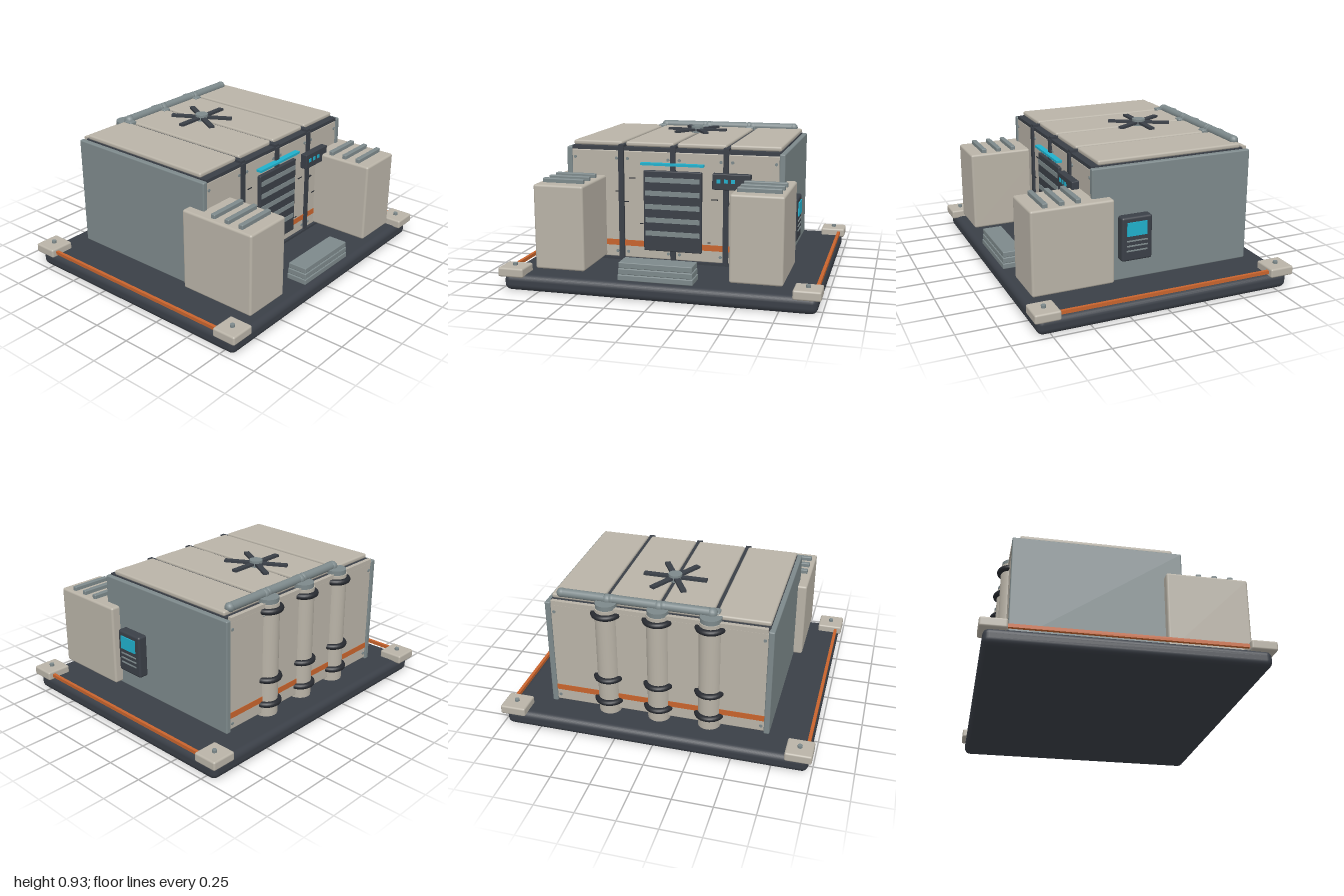
import * as THREE from 'three';
import { RoundedBoxGeometry } from 'three/addons/geometries/RoundedBoxGeometry.js';

const mat = (name, color) => {
  const m = new THREE.MeshStandardMaterial({ color });
  m.name = name;
  return m;
};

export function createModel() {
  const root = new THREE.Group();
  root.name = 'shelterModule';
  const cream = mat('cream', 0xb9b3a7), steel = mat('blueGrey', 0x7d898b), dark = mat('charcoal', 0x3a3f47);
  const black = mat('nearBlack', 0x272a30), orange = mat('orange', 0xc8642d), cyan = mat('cyan', 0x20b0cc);

  const add = (name, geo, m, x, y, z) => {
    const mesh = new THREE.Mesh(geo, m);
    mesh.name = name;
    mesh.position.set(x, y, z);
    root.add(mesh);
    return mesh;
  };
  // Box given by its extents; r > 0 rounds the edges
  const box = (name, m, x0, x1, y0, y1, z0, z1, r = 0) => {
    const w = x1 - x0, h = y1 - y0, d = z1 - z0;
    const geo = r ? new RoundedBoxGeometry(w, h, d, 3, r) : new THREE.BoxGeometry(w, h, d);
    return add(name, geo, m, (x0 + x1) / 2, (y0 + y1) / 2, (z0 + z1) / 2);
  };
  const cyl = (name, m, r, h, x, y, z, seg = 24) => add(name, new THREE.CylinderGeometry(r, r, h, seg), m, x, y, z);

  // Base slab with corner blocks and side trim
  box('base', dark, -0.975, 0.975, 0, 0.105, -0.83, 0.83, 0.04);
  for (const sx of [-1, 1]) {
    box('baseTrim', orange, sx * 0.958 - 0.01, sx * 0.958 + 0.01, 0.113, 0.135, -0.7, 0.7);
    for (const sz of [-1, 1]) {
      box('cornerBlock', cream, sx * 0.915 - 0.083, sx * 0.915 + 0.083, 0.093, 0.152, sz * 0.775 - 0.08, sz * 0.775 + 0.08, 0.012);
      cyl('cornerBolt', steel, 0.015, 0.016, sx * 0.915, 0.16, sz * 0.775, 12);
    }
  }

  // Body core, side walls and edge beams
  box('bodyCore', dark, -0.68, 0.68, 0.125, 0.862, -0.64, 0.355);
  for (const s of [-1, 1]) box('sideWall', steel, s * 0.692 - 0.018, s * 0.692 + 0.018, 0.13, 0.855, -0.675, 0.388, 0.008);
  box('frontBeam', dark, -0.675, 0.675, 0.84, 0.862, 0.33, 0.38);
  box('frontSill', dark, -0.7, 0.7, 0.126, 0.142, 0.34, 0.395);
  box('backBeam', cream, -0.67, 0.67, 0.84, 0.868, -0.672, -0.645);

  // Four bays: front, back and roof panels, stripes and bolts
  for (let i = 0; i < 4; i++) {
    const x0 = -0.68 + i * 0.342 + (i ? 0.012 : 0), x1 = -0.68 + (i + 1) * 0.342 - (i < 3 ? 0.012 : 0.008);
    box('frontPanel', cream, x0, x1, 0.142, 0.84, 0.35, 0.38, 0.006);
    box('backPanel', cream, x0, x1, 0.142, 0.84, -0.665, -0.635, 0.006);
    box('roofPanel', cream, x0, x1, 0.862, 0.893, -0.625, 0.338, 0.012);
    box('frontStripe', orange, x0, x1, 0.218, 0.256, 0.378, 0.383);
    box('backStripe', orange, x0, x1, 0.218, 0.256, -0.668, -0.663);
    for (const x of [x0 + 0.025, x1 - 0.025]) for (const y of [0.18, 0.79]) for (const z of [0.381, -0.666]) {
      cyl('panelBolt', steel, 0.01, 0.008, x, y, z, 10).rotation.x = Math.PI / 2;
    }
  }
  for (const x of [-0.343, 0, 0.343]) {
    box('frontRib', dark, x - 0.017, x + 0.017, 0.13, 0.86, 0.36, 0.393);
    box('roofRib', dark, x - 0.018, x + 0.018, 0.86, 0.877, -0.62, 0.385);
    box('backRib', dark, x - 0.017, x + 0.017, 0.13, 0.86, -0.672, -0.64);
  }

  // Shutter door, lamp and step
  box('door', dark, -0.19, 0.19, 0.2, 0.722, 0.37, 0.402, 0.006);
  for (let i = 0; i < 5; i++) box('doorSlat', steel, -0.178, 0.178, 0.3 + i * 0.087, 0.332 + i * 0.087, 0.395, 0.406);
  box('doorLamp', cyan, -0.205, 0.205, 0.757, 0.772, 0.38, 0.418);
  for (let i = 0; i < 3; i++) {
    const w = 0.235 - i * 0.003;
    box('step', steel, -w, w, 0.112 + i * 0.038, 0.148 + i * 0.038, 0.66 + i * 0.003, 0.8 - i * 0.003, 0.005);
  }

  // Front control panel
  box('controlPanel', dark, 0.265, 0.505, 0.625, 0.725, 0.385, 0.433, 0.005);
  for (const x of [0.305, 0.352, 0.398]) box('controlButton', cyan, x - 0.012, x + 0.012, 0.668, 0.692, 0.43, 0.437);

  // Small scuffs on the front panels: x, y, width
  for (const [x, y, w] of [[-0.27, 0.665, 0.04], [-0.315, 0.51, 0.04], [-0.375, 0.575, 0.02], [-0.21, 0.37, 0.02],
    [0.27, 0.55, 0.045], [0.37, 0.53, 0.04], [0.385, 0.52, 0.04], [0.43, 0.39, 0.035], [0.235, 0.27, 0.02]]) {
    box('scuff', black, x - w / 2, x + w / 2, y - 0.003, y + 0.003, 0.379, 0.384);
  }

  // Side pods with top vents
  for (const s of [-1, 1]) {
    box('pod', cream, s * 0.61 - 0.16, s * 0.61 + 0.16, 0.145, 0.675, 0.27, 0.79, 0.014);
    for (const z of [0.485, 0.588, 0.69]) box('podVent', steel, s * 0.61 - 0.133, s * 0.61 + 0.133, 0.665, 0.702, z - 0.016, z + 0.016, 0.006);
  }

  // Wall terminal on the left side
  box('terminal', dark, 0.7, 0.77, 0.27, 0.55, 0.022, 0.222, 0.014);
  box('terminalScreen', cyan, 0.768, 0.777, 0.432, 0.518, 0.06, 0.19);
  for (const y of [0.337, 0.368, 0.4]) box('terminalGrille', steel, 0.768, 0.775, y - 0.004, y + 0.004, 0.055, 0.192);

  // Back pipes with clamps, caps and roof tubes
  for (const x of [-0.325, 0, 0.325]) {
    cyl('backPipe', cream, 0.072, 0.74, x, 0.49, -0.64);
    cyl('pipeFoot', orange, 0.04, 0.012, x, 0.116, -0.64);
    cyl('pipeCap', steel, 0.066, 0.035, x, 0.872, -0.64);
    for (const y of [0.205, 0.37, 0.82]) {
      add('pipeClamp', new THREE.TorusGeometry(0.078, 0.019, 10, 32), black, x, y, -0.64).rotation.x = Math.PI / 2;
    }
    cyl('roofTube', steel, 0.028, 0.28, x + 0.155, 0.9, -0.61, 16).rotation.z = Math.PI / 2;
    add('tubeEnd', new THREE.SphereGeometry(0.03, 16, 10), steel, x + 0.295, 0.9, -0.61);
    add('tubeElbow', new THREE.SphereGeometry(0.034, 16, 10), steel, x, 0.895, -0.61);
    box('tubeBracket', steel, x - 0.045, x + 0.012, 0.87, 0.903, -0.615, -0.55, 0.01);
  }

  // Roof fan with six blades
  const fan = new THREE.Group();
  fan.name = 'roofFan';
  fan.position.set(0, 0.912, -0.25);
  root.add(fan);
  for (let i = 0; i < 6; i++) {
    const blade = new THREE.Mesh(new THREE.BoxGeometry(0.19, 0.015, 0.036).translate(0.11, 0, 0), dark);
    blade.name = 'fanBlade';
    blade.rotation.y = i * Math.PI / 3;
    fan.add(blade);
  }
  const hub = new THREE.Mesh(new THREE.CylinderGeometry(0.043, 0.043, 0.045, 20), steel);
  hub.name = 'fanHub';
  fan.add(hub);
  return root;
}
